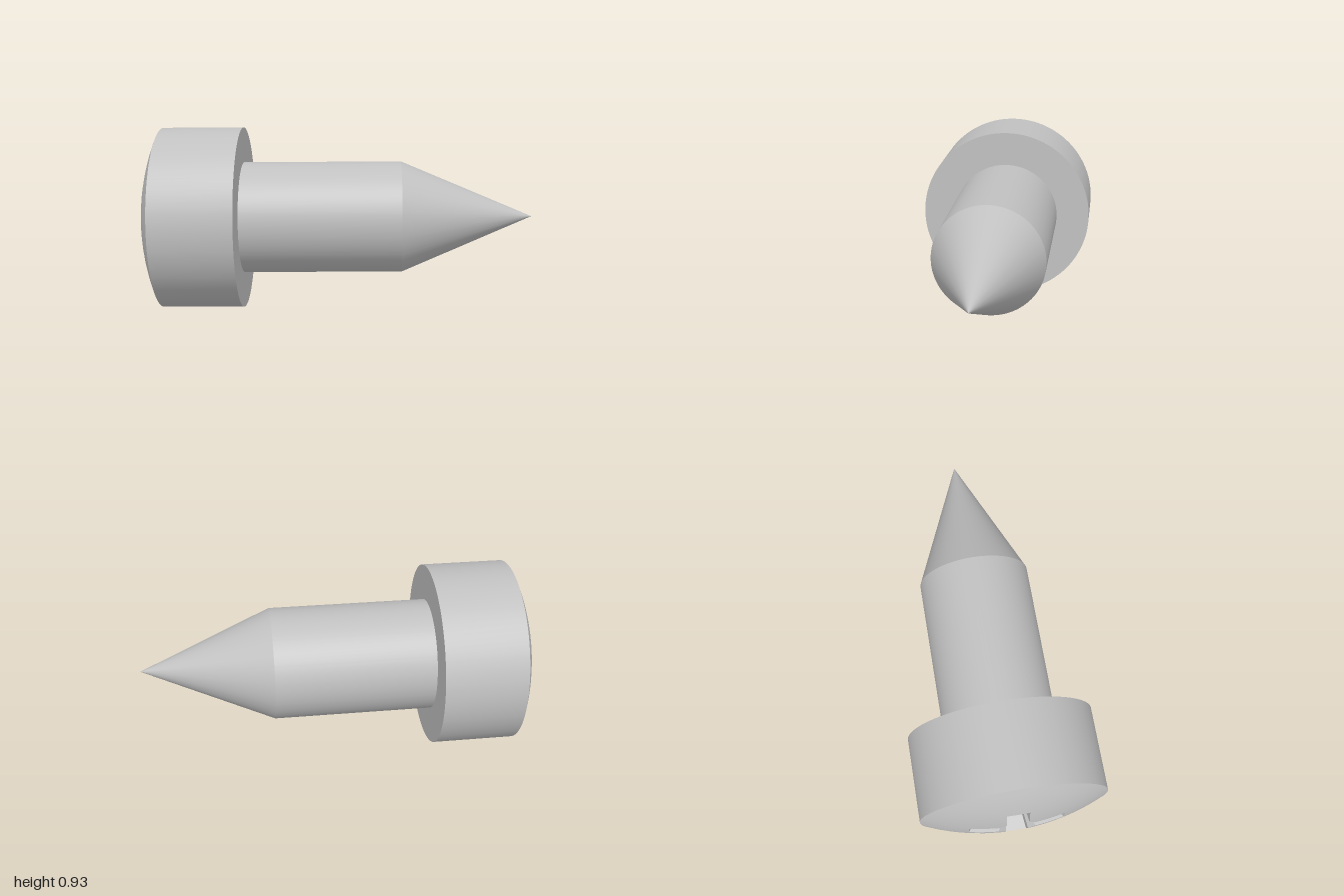
import * as THREE from 'three';
import { toCreasedNormals } from 'three/addons/utils/BufferGeometryUtils.js';

const HEAD_R = 0.465, SHANK_R = 0.285, TOP = -1.0, RIM = -0.9, UNDER = -0.485;
const ARM_W = 0.055, ARM_L = 0.235, CORNER = 0.145; // cross recess outline

// Angles around the axis, including the exact corners of the cross
const angles = [];
for (let i = 0; i < 96; i++) angles.push(i * Math.PI / 48);
for (let q = 0; q < 4; q++) {
  for (const a of [Math.atan2(ARM_W, ARM_L), Math.atan2(ARM_W, CORNER - ARM_W)]) {
    angles.push(q * Math.PI / 2 + a, (q + 1) * Math.PI / 2 - a);
  }
}
angles.sort((a, b) => a - b);

// Radius of the cross opening at an angle, with chamfered inner corners
function crossRadius(t) {
  const m = t % (Math.PI / 2);
  const a = Math.min(m, Math.PI / 2 - m);
  const c = Math.cos(a), s = Math.max(Math.sin(a), 1e-6);
  return Math.max(Math.min(ARM_L / c, ARM_W / s), CORNER / (c + s));
}

// Domed top of the head, as part of a sphere
const rise = RIM - TOP;
const SPHERE = (HEAD_R * HEAD_R + rise * rise) / (2 * rise);
const domeX = r => TOP + SPHERE - Math.sqrt(SPHERE * SPHERE - r * r);

// Skin a list of rings; each ring maps an angle to [x, radius]
function loft(rings) {
  const pos = [], n = angles.length;
  const point = (ring, t) => {
    const [x, r] = ring(t);
    return [x, r * Math.cos(t), r * Math.sin(t)];
  };
  for (let i = 0; i < rings.length - 1; i++) {
    for (let j = 0; j < n; j++) {
      const t0 = angles[j], t1 = angles[(j + 1) % n];
      const a = point(rings[i], t0), b = point(rings[i], t1);
      const c = point(rings[i + 1], t0), d = point(rings[i + 1], t1);
      if (rings[i](t0)[1] > 0) pos.push(...a, ...b, ...c);
      if (rings[i + 1](t0)[1] > 0) pos.push(...b, ...d, ...c);
    }
  }
  const g = new THREE.BufferGeometry();
  g.setAttribute('position', new THREE.Float32BufferAttribute(pos, 3));
  return toCreasedNormals(g, 0.3);
}

const circle = (x, r) => () => [x, r];

export function createModel() {
  const steel = new THREE.MeshStandardMaterial({ color: 0xc0c0c0 });
  steel.name = 'steel grey';
  const screw = new THREE.Group();
  screw.name = 'screw';
  const add = (name, rings) => {
    const mesh = new THREE.Mesh(loft(rings), steel);
    mesh.name = name;
    screw.add(mesh);
  };

  // Tapered cross recess
  const opening = t => [domeX(crossRadius(t)), crossRadius(t)];
  add('crossRecess', [
    circle(-0.79, 0),
    t => [-0.8, 0.5 * crossRadius(t)],
    opening,
  ]);

  // Dome around the recess
  const dome = [];
  for (let i = 0; i <= 6; i++) {
    dome.push(t => {
      const r = THREE.MathUtils.lerp(crossRadius(t), HEAD_R, i / 6);
      return [domeX(r), r];
    });
  }
  add('headDome', dome);

  // Head wall and flat underside
  add('headSide', [circle(RIM, HEAD_R), circle(UNDER, HEAD_R), circle(UNDER, SHANK_R)]);

  // Plain shank and pointed tip
  add('shank', [circle(UNDER, SHANK_R), circle(0.325, SHANK_R)]);
  add('tip', [circle(0.325, SHANK_R), circle(0.995, 0)]);

  // The axis leans very slightly
  screw.rotation.set(0, -0.008, 0.009);
  screw.position.set(0, 0.477, 0.002);
  const model = new THREE.Group();
  model.name = 'model';
  model.add(screw);
  return model;
}
